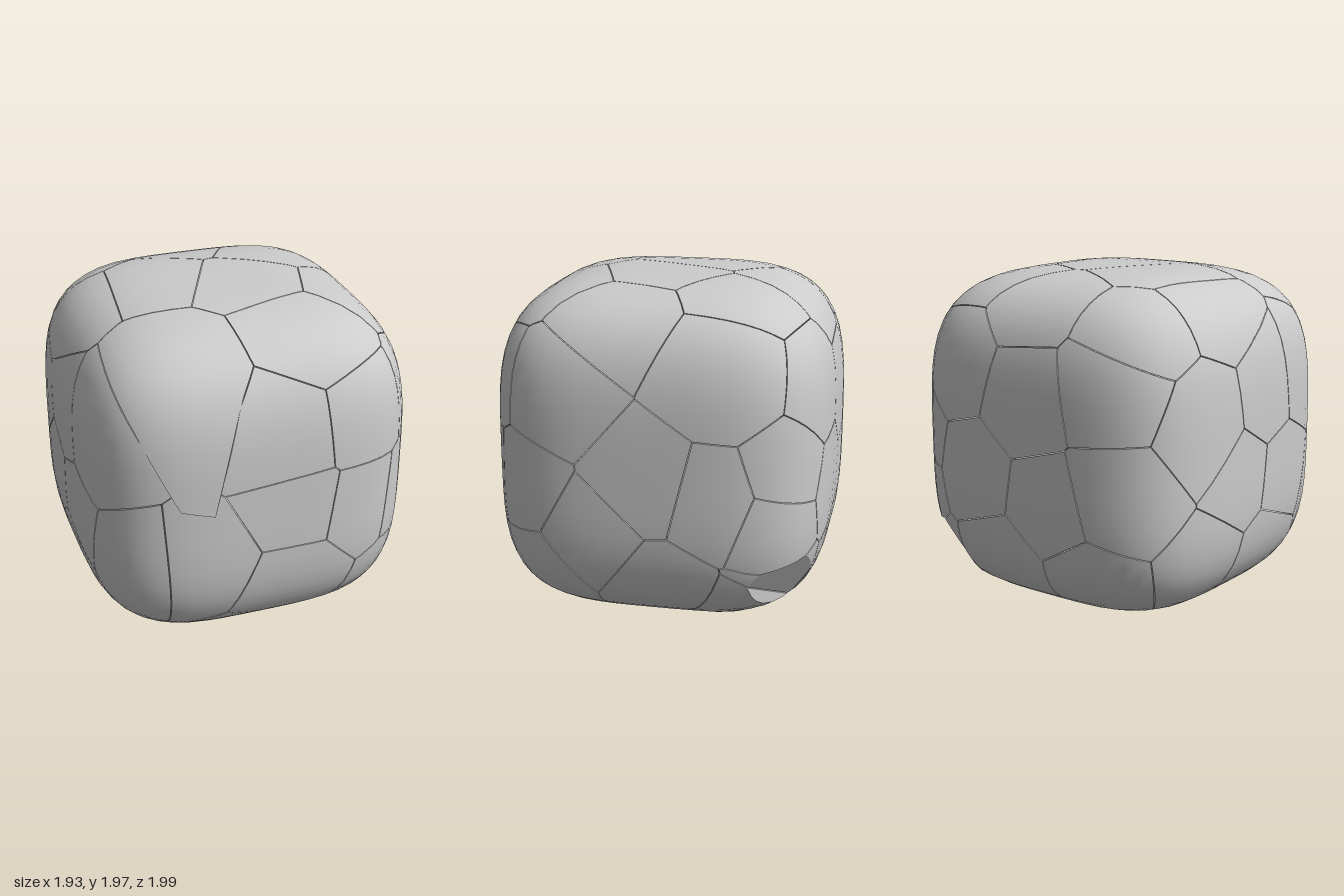
import * as THREE from 'three';

const V = (x, y, z) => new THREE.Vector3(x, y, z);
const HALF = 0.965, POWER = 3.7, GAP = 0.0025, SEGMENTS = 16;
const CENTRE = V(0, 1, -0.025);

// One seed point per broken piece, grouped by the side it lies on
const front = [[0.1, 1.37], [0.56, 1.42], [0.14, 0.96], [0.56, 0.9], [-0.38, 0.68], [0.14, 0.48], [-0.8, 0.65]];
const right = [[1.42, 0.5], [1.55, -0.45], [0.87, 0.72], [0.62, 0.28], [0.95, -0.04], [0.86, -0.4],
  [0.33, -0.1], [1.0, -0.84], [0.72, -0.76]]; // y, z
const top = [[-0.35, -0.2], [0.45, -0.5], [0, -0.75], [0.16, 0.02], [0.35, 0.6], [0.75, 0.2], [-0.82, -0.25]];
const back = [[0.5, 1.45], [-0.05, 1.3], [-0.55, 1.4], [0.35, 0.85], [-0.2, 0.75], [-0.6, 0.85], [0.2, 0.35], [-0.45, 0.3]];
const left = [[1.3, 0.05], [1.2, -0.5], [1.35, 0.5], [0.85, -0.2], [0.8, 0.25], [0.4, -0.45], [0.35, 0.1]]; // y, z
const bottom = [[-0.1, 0.45], [0.35, 0.3], [-0.45, -0.1], [0.1, -0.3]];
const SHOULDER = V(-0.45, 1.6, 0.6), FOOT = V(0.62, 0.24, -0.5), CHIP = V(0.78, 0.22, -0.82);
const seeds = [
  ...front.map(([x, y]) => V(x, y, 0.8)),
  ...right.map(([y, z]) => V(0.85, y, z)),
  ...top.map(([x, z]) => V(x, 1.85, z)),
  ...back.map(([x, y]) => V(x, y, -0.87)),
  ...left.map(([y, z]) => V(-0.85, y, z)),
  ...bottom.map(([x, z]) => V(x, 0.15, z)),
  V(0.78, 0.35, 0.62), V(-0.65, 1.75, -0.8), V(0.58, 0.42, -0.6),
  SHOULDER, FOOT, CHIP,
];

// Pieces with one corner lifted out of the surface: [seed, tip, reach]
const lifted = [
  [SHOULDER, V(-0.36, 1.05, 1.0), 0.5],
  [FOOT, V(0.35, 0, -0.4), 0.3],
];

// Rounded cube as a list of triangles { pts, outer }
function roundedCube() {
  const g = new THREE.BoxGeometry(2, 2, 2, SEGMENTS, SEGMENTS, SEGMENTS).toNonIndexed();
  const p = g.attributes.position, faces = [];
  const point = (i) => {
    const v = V(0, 0, 0).fromBufferAttribute(p, i);
    const len = (Math.abs(v.x) ** POWER + Math.abs(v.y) ** POWER + Math.abs(v.z) ** POWER) ** (1 / POWER);
    return v.multiplyScalar(HALF / len).add(CENTRE);
  };
  for (let i = 0; i < p.count; i += 3) faces.push({ pts: [point(i), point(i + 1), point(i + 2)], outer: true });
  return faces;
}

// Keep the part of a convex solid behind a plane and close the cut with a flat wall
function cut(faces, n, d) {
  const kept = [], rim = [];
  for (const f of faces) {
    const dist = f.pts.map((p) => p.dot(n) - d);
    if (dist.every((s) => s <= 0)) { kept.push(f); continue; }
    if (dist.every((s) => s > 0)) continue;
    const pts = [];
    f.pts.forEach((a, i) => {
      const j = (i + 1) % f.pts.length, s = dist[i], t = dist[j];
      if (s <= 0) pts.push(a);
      if ((s <= 0) !== (t <= 0)) {
        const c = a.clone().lerp(f.pts[j], s / (s - t));
        pts.push(c);
        rim.push(c);
      }
    });
    if (pts.length > 2) kept.push({ pts, outer: f.outer, normal: f.normal });
  }
  if (rim.length > 2) {
    const mid = rim.reduce((m, p) => m.add(p), V(0, 0, 0)).divideScalar(rim.length);
    const u = V(n.y, n.z, -n.x).cross(n).normalize(), w = n.clone().cross(u);
    const angle = (p) => { const q = p.clone().sub(mid); return Math.atan2(q.dot(w), q.dot(u)); };
    const sorted = rim.map((p) => [angle(p), p]).sort((a, b) => a[0] - b[0]).map((e) => e[1].clone());
    kept.push({ pts: sorted, outer: false, normal: n });
  }
  return kept;
}

// Smooth normal of the rounded cube at a point
function surfaceNormal(p) {
  const q = p.clone().sub(CENTRE);
  const f = (t) => Math.sign(t) * Math.abs(t) ** (POWER - 1);
  return V(f(q.x), f(q.y), f(q.z)).normalize();
}

// Pull the piece corner nearest to the tip out to it, fading over the reach
function liftCorner(faces, tip, reach) {
  let corner = null, best = Infinity;
  for (const f of faces) for (const p of f.pts) {
    const d = p.distanceTo(tip);
    if (d < best) { best = d; corner = p.clone(); }
  }
  const shift = tip.clone().sub(corner);
  return faces.map((f) => ({
    ...f,
    pts: f.pts.map((p) => p.clone().addScaledVector(shift, Math.max(0, 1 - p.distanceTo(corner) / reach))),
  }));
}

function toGeometry(faces) {
  const pos = [], nor = [];
  for (const f of faces) {
    for (let i = 1; i < f.pts.length - 1; i++) {
      for (const p of [f.pts[0], f.pts[i], f.pts[i + 1]]) {
        pos.push(p.x, p.y, p.z);
        const n = f.outer ? surfaceNormal(p) : f.normal;
        nor.push(n.x, n.y, n.z);
      }
    }
  }
  const g = new THREE.BufferGeometry();
  g.setAttribute('position', new THREE.Float32BufferAttribute(pos, 3));
  g.setAttribute('normal', new THREE.Float32BufferAttribute(nor, 3));
  return g;
}

export function createModel() {
  const group = new THREE.Group();
  group.name = 'fracturedRoundedCube';
  const material = new THREE.MeshStandardMaterial({ color: 0xcccccc, side: THREE.DoubleSide });
  const solid = roundedCube();

  seeds.forEach((seed, index) => {
    if (seed === CHIP) return; // the missing chip leaves a hole at the lower back corner
    let faces = solid;
    const others = seeds.filter((s) => s !== seed).sort((a, b) => a.distanceTo(seed) - b.distanceTo(seed));
    for (const other of others) {
      const n = other.clone().sub(seed).normalize();
      const middle = other.clone().add(seed).multiplyScalar(0.5);
      faces = cut(faces, n, middle.dot(n) - GAP);
    }
    if (!faces.length) return;
    for (const [owner, tip, reach] of lifted) if (owner === seed) faces = liftCorner(faces, tip, reach);
    const piece = new THREE.Mesh(toGeometry(faces), material);
    piece.name = `piece${index + 1}`;
    group.add(piece);
  });
  return group;
}
